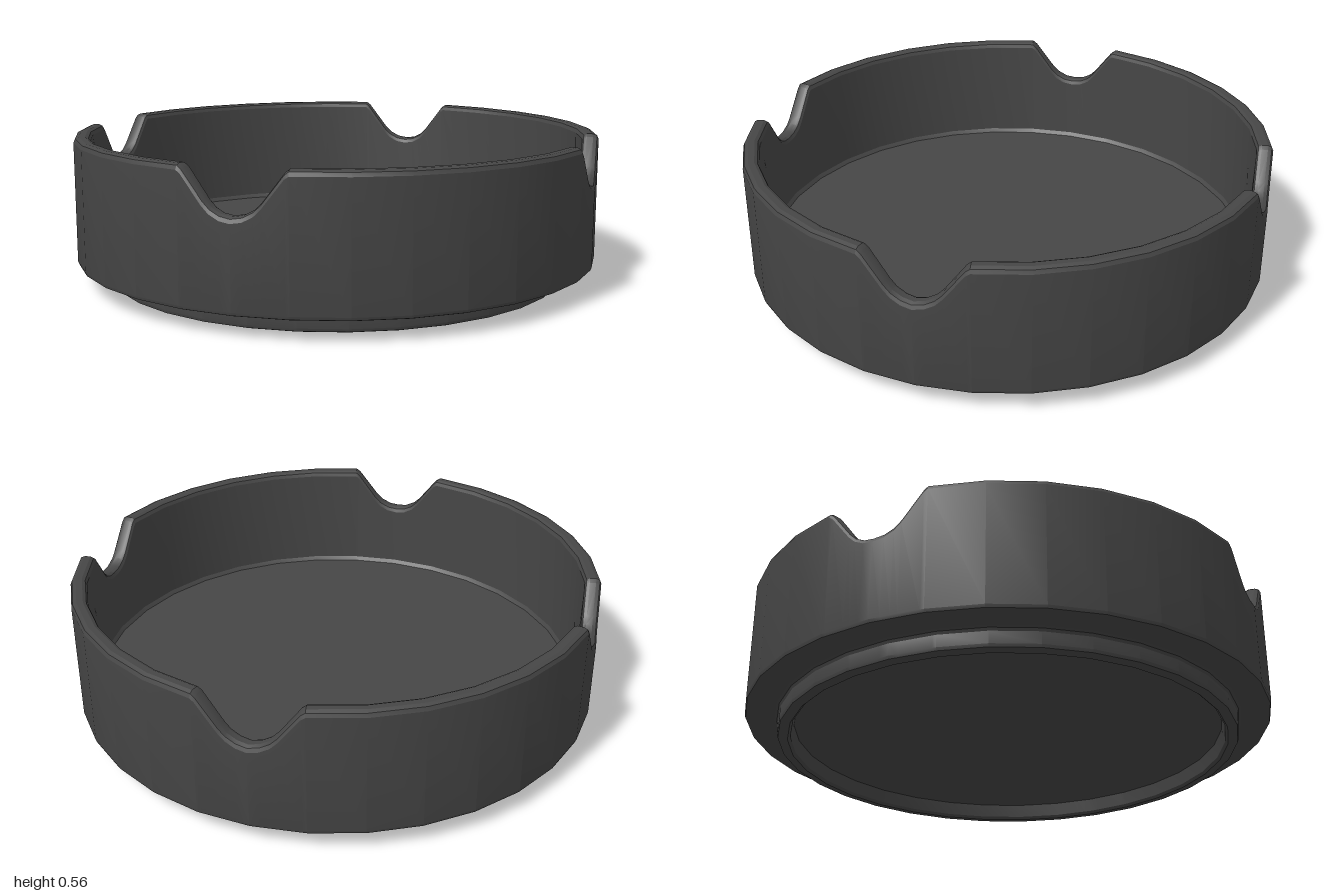
import * as THREE from 'three';
import { toCreasedNormals } from 'three/addons/utils/BufferGeometryUtils.js';

const SIDES = 32;
const STEP = (Math.PI * 2) / SIDES;
const HALF = Math.sin(STEP); // half width of a notch
const TOP = 0.56;

// Half of a notch outline: a round bottom, straight flank and softened lip
function notchOutline() {
  const half = [0, 18, 36, 52].map((deg) => {
    const a = THREE.MathUtils.degToRad(deg);
    return [0.13 * Math.sin(a), 0.53 - 0.13 * Math.cos(a)];
  });
  half.push([0.18, 0.549], [HALF, TOP]);
  const mirrored = half.slice(1).reverse().map(([x, y]) => [-x, y]);
  return [...mirrored, ...half];
}

// Columns around the rim: direction on a unit polygon and height of the rim
function rimColumns() {
  const columns = [];
  for (let q = 0; q < 4; q++) {
    const turn = (q * Math.PI) / 2;
    const add = (x, z, h) => columns.push({
      x: x * Math.cos(turn) + z * Math.sin(turn),
      z: z * Math.cos(turn) - x * Math.sin(turn),
      h,
    });
    for (const [x, h] of notchOutline()) {
      add(x, 1 - (1 - Math.cos(STEP)) * Math.abs(x) / HALF, h);
    }
    for (let i = 2; i <= 6; i++) add(Math.sin(i * STEP), Math.cos(i * STEP), TOP);
  }
  return columns;
}

// Sweep a profile of [radius, y, followsRim] around the columns
function sweep(profile, columns) {
  const rows = profile.length;
  const positions = [];
  const index = [];
  for (const c of columns) {
    for (const [r, y, followsRim] of profile) {
      positions.push(c.x * r, followsRim ? c.h + y : y, c.z * r);
    }
  }
  for (let j = 0; j < columns.length; j++) {
    const a = j * rows;
    const b = ((j + 1) % columns.length) * rows;
    for (let i = 0; i < rows - 1; i++) {
      if (profile[i][0] > 0) index.push(a + i, b + i, a + i + 1);
      if (profile[i + 1][0] > 0) index.push(b + i, b + i + 1, a + i + 1);
    }
  }
  const geometry = new THREE.BufferGeometry();
  geometry.setAttribute('position', new THREE.Float32BufferAttribute(positions, 3));
  geometry.setIndex(index);
  return toCreasedNormals(geometry, 0.35);
}

export function createModel() {
  const group = new THREE.Group();
  group.name = 'ashtray';
  const darkGrey = new THREE.MeshStandardMaterial({ color: 0x464646 });
  darkGrey.name = 'darkGrey';
  const columns = rimColumns();

  const parts = {
    // recessed underside, foot ring and the ledge under the wall
    foot: [
      [0, 0.06], [0.815, 0.06], [0.825, 0.01], [0.835, 0], [0.86, 0],
      [0.871, 0.004], [0.875, 0.015], [0.875, 0.06], [0.88, 0.07], [0.89, 0.075], [0.985, 0.075],
    ],
    // outer wall, rounded rim with four notches, inner wall
    wall: [
      [0.985, 0.075], [0.996, 0.079], [1, 0.09],
      [1, -0.02, true], [0.994, -0.006, true], [0.98, 0, true],
      [0.957, 0, true], [0.945, -0.006, true], [0.939, -0.02, true],
      [0.932, 0.145], [0.922, 0.13],
    ],
    floor: [[0.922, 0.13], [0, 0.13]],
  };

  for (const [name, profile] of Object.entries(parts)) {
    const mesh = new THREE.Mesh(sweep(profile, columns), darkGrey);
    mesh.name = name;
    group.add(mesh);
  }
  return group;
}
